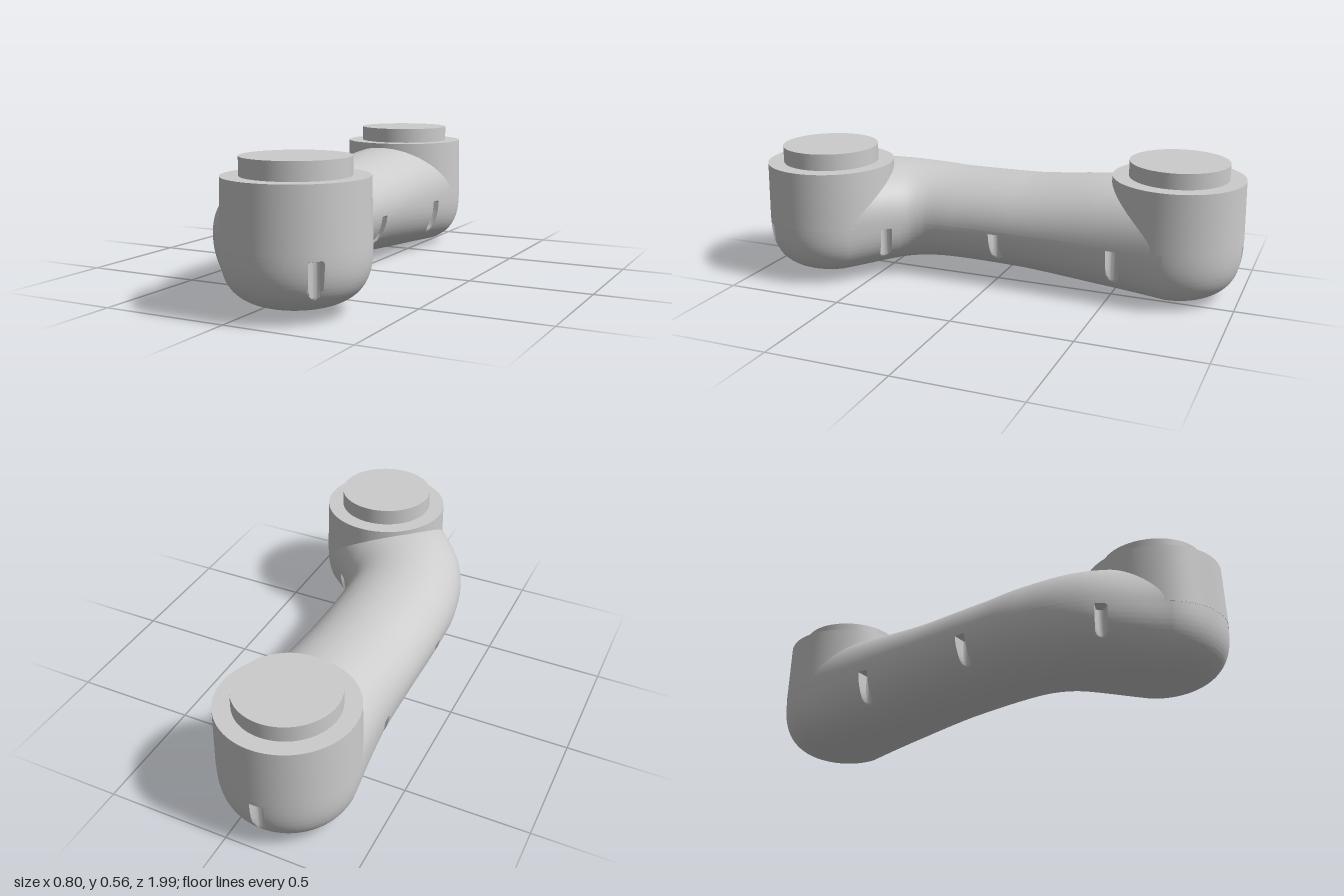
import * as THREE from 'three';
import { toCreasedNormals } from 'three/addons/utils/BufferGeometryUtils.js';

const SEAM = 0.245;
const grey = new THREE.MeshStandardMaterial({ color: 0xcccccc, side: THREE.DoubleSide });

// Centre line of the bent arm in plan, with matching half width, underside and top heights
const curve = (pts) => new THREE.CatmullRomCurve3(pts.map((p) => new THREE.Vector3(...p)));
const spine = curve([
  [-0.13, 0, -0.73], [-0.125, 0, -0.42], [-0.13, 0, -0.1], [-0.13, 0, 0.18],
  [-0.115, 0, 0.36], [-0.055, 0, 0.515], [0.125, 0, 0.72],
]);
const section = curve([
  [0.27, 0, 0.48], [0.248, 0.015, 0.468], [0.243, 0.035, 0.44], [0.243, 0.04, 0.438],
  [0.246, 0.037, 0.45], [0.262, 0.032, 0.466], [0.27, 0.024, 0.478],
]);

// Closed outline: one side, the front round end, the other side, the back round end
function outline(sideSteps, capSteps) {
  const cols = [];
  const add = (t, angle) => {
    const anchor = spine.getPoint(t), T = spine.getTangent(t), sec = section.getPoint(t);
    const c = Math.cos(angle), s = Math.sin(angle);
    const dir = new THREE.Vector3(T.z * c + T.x * s, 0, -T.x * c + T.z * s).normalize();
    const end = Math.pow(Math.abs(2 * t - 1), 3);
    cols.push({ anchor, dir, sec, end, rim: anchor.clone().addScaledVector(dir, sec.x) });
  };
  for (let i = 0; i < sideSteps; i++) add(i / sideSteps, 0);
  for (let i = 0; i < capSteps; i++) add(1, Math.PI * i / capSteps);
  for (let i = 0; i < sideSteps; i++) add(1 - i / sideSteps, Math.PI);
  for (let i = 0; i < capSteps; i++) add(0, Math.PI * (1 + i / capSteps));
  return cols;
}

// Upright fastener channels cut into the side of the lower shell: x, z, depth
const SLOTS = [
  [0.315, 0.91, 0.034], [0.2, 0.43, 0.045], [0.12, -0.02, 0.055], [0.13, -0.53, 0.045],
  [-0.14, -1, 0.034], [-0.375, -0.39, 0.05], [-0.375, 0.14, 0.055], [-0.24, 0.7, 0.042],
];
const SLOT_R = 0.023, SLOT_TOP = 0.226;

function carve(p, slots) {
  if (p.y > SLOT_TOP) return;
  for (const { rim, dir, depth } of slots) {
    const dx = p.x - rim.x, dz = p.z - rim.z;
    const out = dx * dir.x + dz * dir.z;
    const across = dx * dir.z - dz * dir.x;
    if (Math.abs(across) > SLOT_R || out < -0.1) continue;
    const wall = -(depth - SLOT_R + Math.sqrt(SLOT_R ** 2 - across ** 2));
    if (out > wall) {
      p.x += dir.x * (wall - out);
      p.z += dir.z * (wall - out);
    }
  }
}

// Half shell running from the seam to the spine as a superellipse
function shell(name, cols, rows, upper, slots) {
  const pos = [], index = [], p = new THREE.Vector3();
  for (let k = 0; k <= rows; k++) {
    const e = k === rows ? 1 : Math.sin((Math.PI / 2) * k / rows);
    for (const c of cols) {
      const n = 2 + (upper ? 0.4 : 0.9) * c.end;
      const s = Math.pow(Math.max(0, 1 - Math.pow(e, n)), 1 / n);
      p.copy(c.anchor).addScaledVector(c.dir, c.sec.x * s);
      p.y = SEAM + ((upper ? c.sec.z : c.sec.y) - SEAM) * e;
      carve(p, slots);
      pos.push(p.x, p.y, p.z);
    }
  }
  const N = cols.length;
  for (let k = 0; k < rows; k++) {
    for (let i = 0; i < N; i++) {
      const j = (i + 1) % N;
      const a = k * N + i, b = k * N + j, c = a + N, d = b + N;
      if (upper) index.push(a, c, b, b, c, d);
      else index.push(a, b, c, b, d, c);
    }
  }
  const geo = new THREE.BufferGeometry();
  geo.setAttribute('position', new THREE.Float32BufferAttribute(pos, 3));
  geo.setIndex(index);
  const mesh = new THREE.Mesh(toCreasedNormals(geo, 0.6), grey);
  mesh.name = name;
  return mesh;
}

function cylinder(name, rTop, rBottom, y0, y1, x, z) {
  const mesh = new THREE.Mesh(new THREE.CylinderGeometry(rTop, rBottom, y1 - y0, 96), grey);
  mesh.position.set(x, (y0 + y1) / 2, z);
  mesh.name = name;
  return mesh;
}

export function createModel() {
  const group = new THREE.Group();
  group.name = 'bentArm';

  // Lower shell with the channels
  const fine = outline(300, 150);
  const slots = SLOTS.map(([x, z, depth]) => {
    const d = (c) => Math.hypot(c.rim.x - x, c.rim.z - z);
    const near = fine.reduce((best, c) => (d(c) < d(best) ? c : best));
    return { rim: near.rim, dir: near.dir, depth };
  });
  group.add(shell('lowerShell', fine, 48, false, slots));

  // Upper shell
  group.add(shell('upperShell', outline(90, 40), 28, true, []));

  // Round end housings, each with a raised disc
  for (const [side, x, z, top] of [['back', -0.13, -0.73, 0.491], ['front', 0.125, 0.72, 0.486]]) {
    group.add(cylinder(side + 'Housing', 0.266, 0.271, SEAM, top, x, z));
    group.add(cylinder(side + 'Disc', 0.2, 0.2, top - 0.02, 0.555, x, z));
  }
  return group;
}
